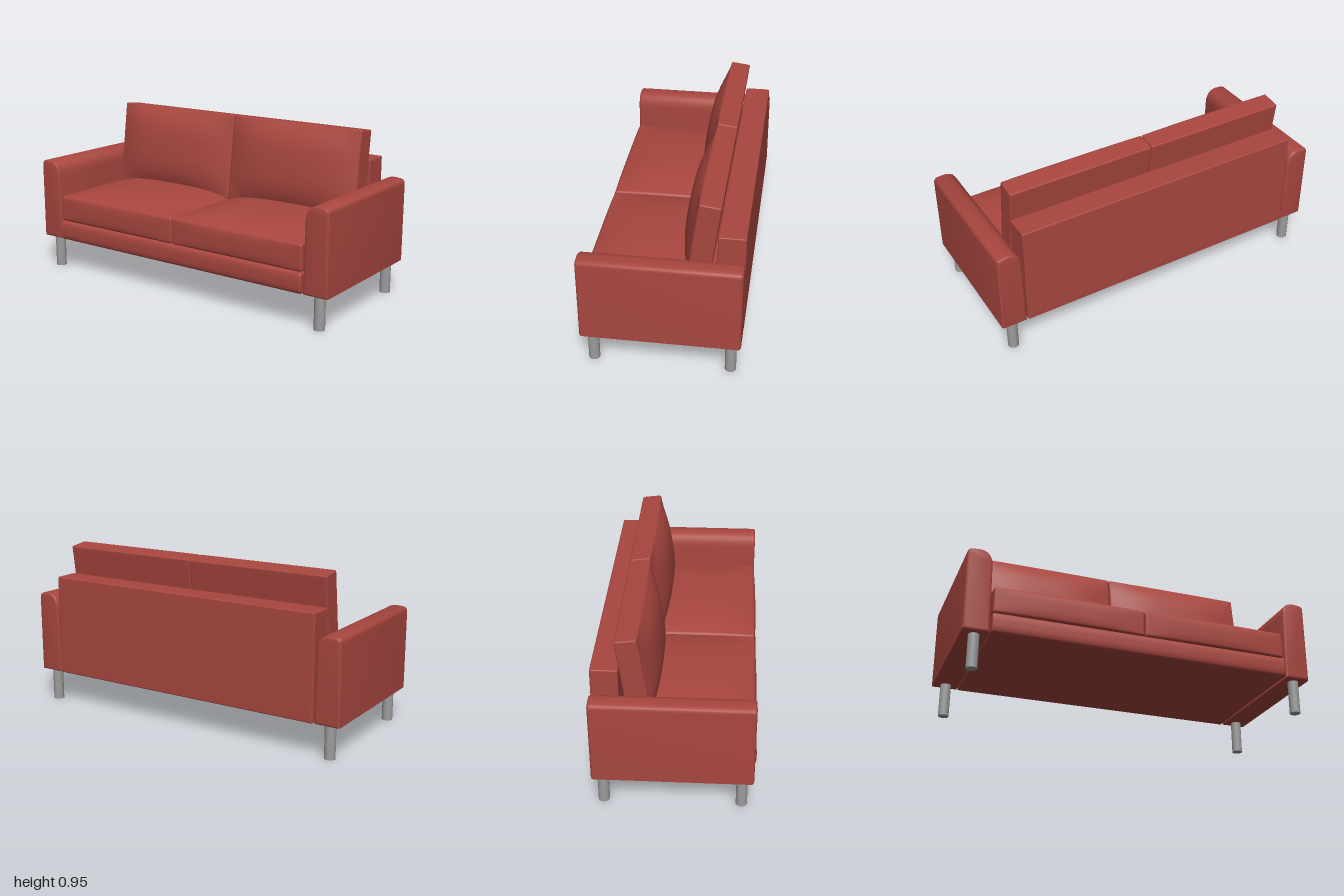
import * as THREE from 'three';
import { mergeVertices, toCreasedNormals } from 'three/addons/utils/BufferGeometryUtils.js';

const fabric = new THREE.MeshStandardMaterial({ name: 'red fabric', color: 0xa8463f });
const steel = new THREE.MeshStandardMaterial({ name: 'grey metal', color: 0x9c9c9c });

const dome = (u, v) => (1 - Math.abs(u) ** 3) * (1 - Math.abs(v) ** 3);

// Box with rounded edges and a fine grid on its faces; warp(p) may then puff it up.
function softBox(w, h, d, r, warp) {
  const n = 26, k = 4;
  const geo = new THREE.BoxGeometry(2, 2, 2, n, n, n);
  geo.deleteAttribute('uv');
  geo.deleteAttribute('normal');
  const half = new THREE.Vector3(w / 2, h / 2, d / 2);
  const core = half.clone().subScalar(r);
  const place = (t, size) => {
    const i = Math.round((Math.abs(t) * n) / 2); // steps from the middle
    const inner = n / 2 - k;
    const a = i <= inner ? (i / inner) * (size - r) : size - r + ((i - inner) / k) * r;
    return Math.sign(t) * a;
  };
  const pos = geo.attributes.position;
  const p = new THREE.Vector3(), c = new THREE.Vector3();
  for (let i = 0; i < pos.count; i++) {
    p.set(place(pos.getX(i), half.x), place(pos.getY(i), half.y), place(pos.getZ(i), half.z));
    c.copy(p).clamp(core.clone().negate(), core);
    p.sub(c).setLength(r).add(c);
    if (warp) warp(p, p.x / half.x, p.y / half.y, p.z / half.z);
    pos.setXYZ(i, p.x, p.y, p.z);
  }
  const merged = mergeVertices(geo, 1e-5);
  merged.computeVertexNormals();
  return merged;
}

// Arm: front outline with a wide inner shoulder, run from back to front.
function armGeometry() {
  const b = 0.014, x0 = 0.857 + b, x1 = 1 - b, y0 = 0.19 + b, y1 = 0.667 - b;
  const s = new THREE.Shape();
  s.moveTo(x0, y0);
  s.lineTo(x1, y0);
  s.lineTo(x1, y1 - 0.015);
  s.quadraticCurveTo(x1, y1 - 0.003, x1 - 0.02, y1 - 0.002);
  s.lineTo(x0 + 0.065, y1);
  s.bezierCurveTo(x0 + 0.03, y1, x0 + 0.008, y1 - 0.02, x0 + 0.005, y1 - 0.07);
  s.lineTo(x0, y0);
  const geo = new THREE.ExtrudeGeometry(s, {
    depth: 0.848 - 2 * b, bevelSize: b, bevelThickness: b, bevelSegments: 4, curveSegments: 10,
  });
  geo.translate(0, 0, -0.43 + b);
  return toCreasedNormals(geo, 0.7);
}

export function createModel() {
  const model = new THREE.Group();
  model.name = 'sofa';
  const add = (name, geo, x, y, z, material = fabric) => {
    const mesh = new THREE.Mesh(geo, material);
    mesh.name = name;
    mesh.position.set(x, y, z);
    model.add(mesh);
    return mesh;
  };

  // Seat base with a softly bulging front rail
  add('base', softBox(1.7, 0.116, 0.71, 0.012, (p, u, v, w) => {
    if (w > 0) p.z += 0.012 * w * (1 - Math.abs(v) ** 3);
  }), 0, 0.248, 0.063);

  // Back panel
  add('backPanel', softBox(1.7, 0.585, 0.145, 0.008), 0, 0.4825, -0.3575);

  // Seat cushions: crowned top, slightly full front
  const seat = softBox(0.845, 0.152, 0.7, 0.014, (p, u, v, w) => {
    if (v > 0) p.y += 0.052 * v * dome(u, w);
    if (w > 0) p.z += 0.01 * w * dome(u, v);
  });
  // Back cushions: puffed front, flat back
  const back = softBox(0.843, 0.5, 0.115, 0.009, (p, u, v, w) => {
    if (w > 0) p.z += 0.064 * w * dome(u, v);
  });
  const arm = armGeometry();
  const leg = new THREE.CylinderGeometry(0.03, 0.03, 0.2, 32);

  for (const side of [1, -1]) {
    const label = side > 0 ? 'left' : 'right';
    add(label + 'SeatCushion', seat, side * 0.4245, 0.383, 0.066);
    add(label + 'BackCushion', back, side * 0.4235, 0.7, -0.2125).rotation.x = -0.13;

    const armMesh = add(label + 'Arm', arm, 0, 0, 0);
    if (side < 0) armMesh.scale.x = -1;

    add(label + 'FrontLeg', leg, side * 0.928, 0.1, 0.357, steel);
    add(label + 'BackLeg', leg, side * 0.928, 0.1, -0.374, steel);
  }
  return model;
}
